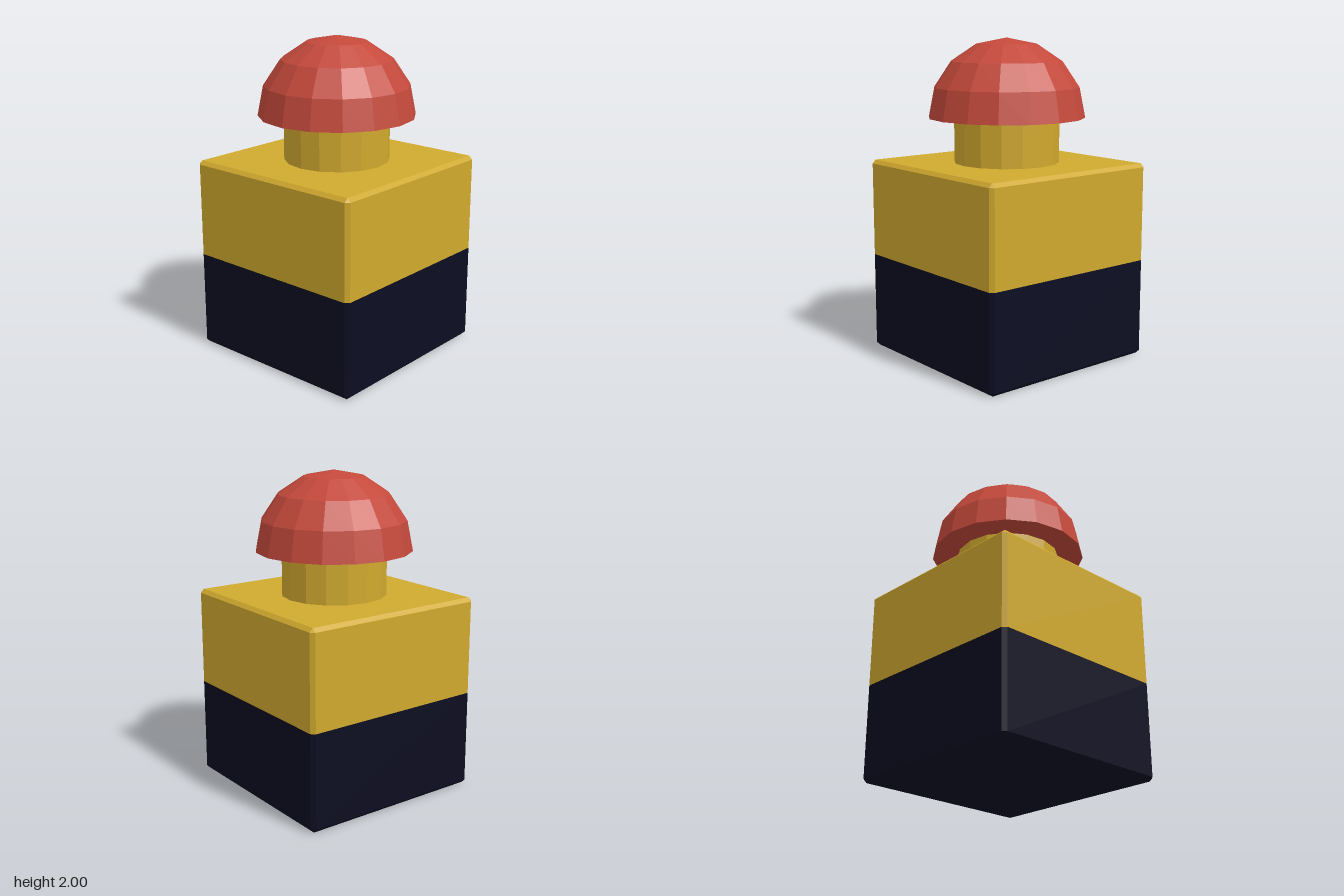
import * as THREE from 'three';

const HALF = 0.615, BEVEL = 0.023, INNER = HALF - BEVEL;
const BLOCK_TOP = 1.23, SPLIT = 0.615, CAP_BASE = 1.51, CAP_RADIUS = 0.49;

// Gives every facet its own flat normal
function faceted(geometry) {
  const g = geometry.index ? geometry.toNonIndexed() : geometry;
  g.computeVertexNormals();
  return g;
}

// Square ring with bevelled corners, counterclockwise seen from above
function ring(half, y) {
  const points = [];
  for (let i = 0; i < 4; i++) {
    const c = Math.round(Math.cos(i * Math.PI / 2)), s = Math.round(Math.sin(i * Math.PI / 2));
    for (const side of [-INNER, INNER]) {
      points.push(new THREE.Vector3(half * c - side * s, y, -(half * s + side * c)));
    }
  }
  return points;
}

// Skins stacked rings, closing only the requested ends
function loft(rings, closeBottom, closeTop) {
  const triangles = [];
  for (let r = 0; r < rings.length - 1; r++) {
    const lower = rings[r], upper = rings[r + 1];
    for (let i = 0; i < 8; i++) {
      const j = (i + 1) % 8;
      triangles.push(lower[i], lower[j], upper[j], lower[i], upper[j], upper[i]);
    }
  }
  const first = rings[0], last = rings[rings.length - 1];
  for (let i = 1; i < 7; i++) {
    if (closeBottom) triangles.push(first[0], first[i + 1], first[i]);
    if (closeTop) triangles.push(last[0], last[i], last[i + 1]);
  }
  return faceted(new THREE.BufferGeometry().setFromPoints(triangles));
}

export function createModel() {
  const model = new THREE.Group();
  model.name = 'cappedBlock';

  const material = (name, color) => {
    const m = new THREE.MeshStandardMaterial({ color });
    m.name = name;
    return m;
  };
  const gold = material('gold', 0xd0a92e);
  const navy = material('navy', 0x0c0d21);
  const red = material('red', 0xc4493b);

  const add = (name, geometry, mat) => {
    const mesh = new THREE.Mesh(geometry, mat);
    mesh.name = name;
    model.add(mesh);
    return mesh;
  };

  // Bevelled block in two colours
  add('lowerBlock', loft([ring(INNER, 0), ring(HALF, BEVEL), ring(HALF, SPLIT)], true, false), navy);
  add('upperBlock', loft([ring(HALF, SPLIT), ring(HALF, BLOCK_TOP - BEVEL), ring(INNER, BLOCK_TOP)], false, true), gold);

  // Round neck
  const neckHeight = CAP_BASE - BLOCK_TOP;
  const neck = add('neck', faceted(new THREE.CylinderGeometry(0.33, 0.33, neckHeight, 16, 1, true)), gold);
  neck.position.y = BLOCK_TOP + neckHeight / 2;

  // Domed cap with a flat underside
  const profile = [new THREE.Vector2(0, 0)];
  for (let i = 0; i <= 4; i++) {
    const a = i * Math.PI / 8;
    profile.push(new THREE.Vector2(i === 4 ? 0 : CAP_RADIUS * Math.cos(a), CAP_RADIUS * Math.sin(a)));
  }
  const cap = add('domedCap', faceted(new THREE.LatheGeometry(profile, 16)), red);
  cap.position.y = CAP_BASE;

  return model;
}
